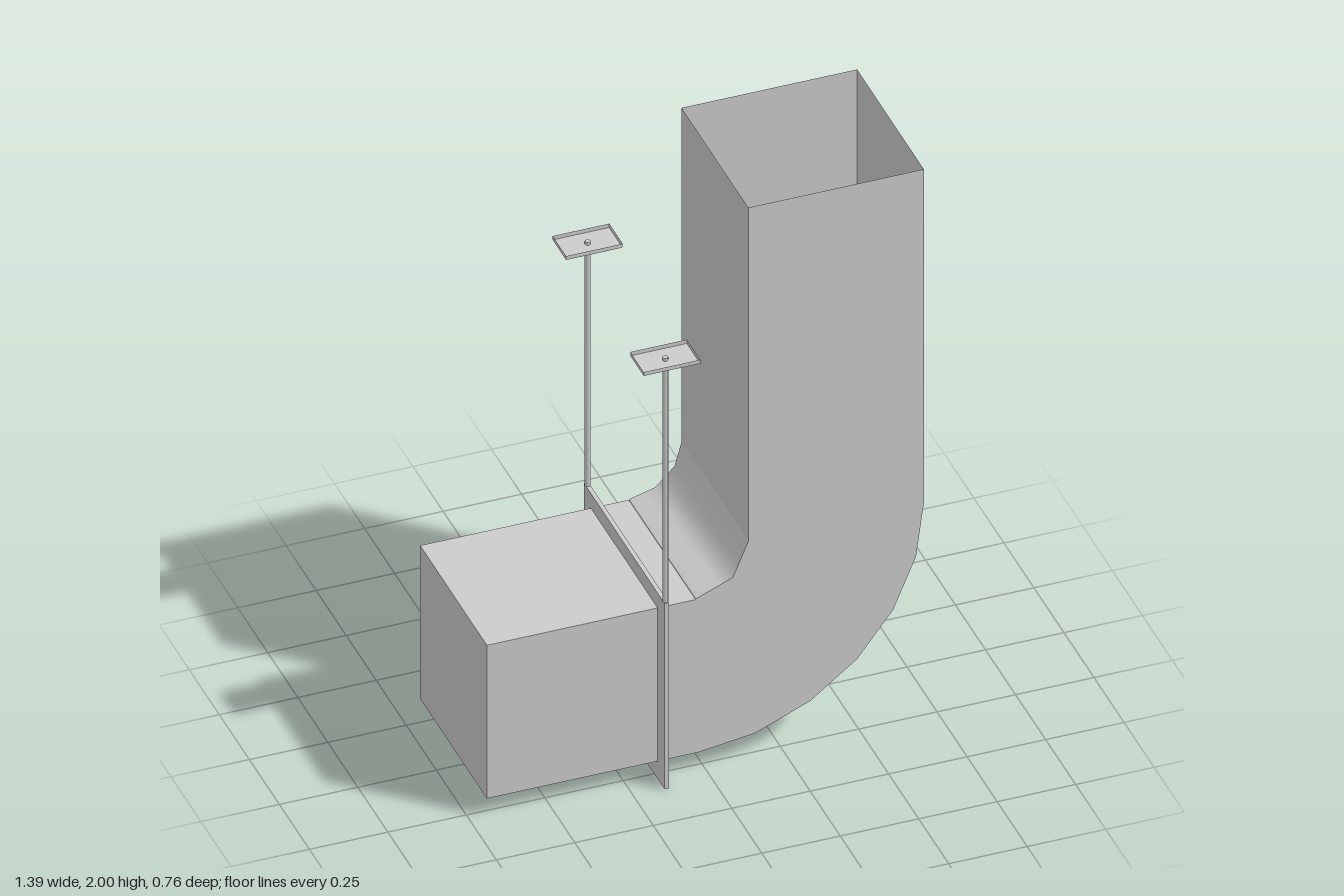
import * as THREE from 'three';

const material = new THREE.MeshStandardMaterial({ color: 0xcccccc, side: THREE.DoubleSide });
const HALF = 0.278;                 // half width of the duct
const CX = -0.03, CY = 0.79;        // centre of the bend
const R_OUT = 0.727, R_IN = 0.168;

function part(name, geometry, x = 0, y = 0, z = 0) {
  const mesh = new THREE.Mesh(geometry, material);
  mesh.name = name;
  mesh.position.set(x, y, z);
  return mesh;
}

// Box without its top face
function openBox(w, h, d) {
  const geo = new THREE.BoxGeometry(w, h, d);
  const index = Array.from(geo.index.array);
  index.splice(12, 6);
  geo.setIndex(index);
  return geo;
}

// Quarter arc from the horizontal duct up to the vertical duct
function arc(radius, segments) {
  return Array.from({ length: segments + 1 }, (_, i) => {
    const a = (i / segments) * Math.PI / 2;
    return new THREE.Vector2(CX + radius * Math.sin(a), CY - radius * Math.cos(a));
  });
}

// Resample a polyline so that both sides of a strip have equal point counts
function resample(points, count) {
  return Array.from({ length: count + 1 }, (_, i) => {
    const t = (i / count) * (points.length - 1);
    const k = Math.min(Math.floor(t), points.length - 2);
    return points[k].clone().lerp(points[k + 1], t - k);
  });
}

// Curved wall ruled between a front and a back profile
function ruledWall(front, back) {
  const pos = [], index = [];
  front.forEach((p, i) => {
    pos.push(p.x, p.y, HALF, back[i].x, back[i].y, -HALF);
    if (i) {
      const a = 2 * (i - 1);
      index.push(a, a + 1, a + 2, a + 1, a + 3, a + 2);
    }
  });
  const geo = new THREE.BufferGeometry();
  geo.setAttribute('position', new THREE.Float32BufferAttribute(pos, 3));
  geo.setIndex(index);
  geo.computeVertexNormals();
  return geo;
}

export function createModel() {
  const model = new THREE.Group();
  model.name = 'ductElbowWithHanger';

  // Straight ducts: closed horizontal run, open-topped riser
  model.add(part('horizontalDuct', new THREE.BoxGeometry(0.665, 2 * HALF, 2 * HALF), -0.3625, 0.342));
  model.add(part('verticalDuct', openBox(R_OUT - R_IN, 2 - CY, 2 * HALF), CX + (R_OUT + R_IN) / 2, (2 + CY) / 2));

  // Bend: outer wall, coarser inner wall, and two flat cheeks
  const bend = new THREE.Group();
  bend.name = 'bend';
  const outer = arc(R_OUT, 6);
  const innerFront = arc(R_IN, 2), innerBack = arc(R_IN, 3);
  bend.add(part('outerWall', ruledWall([...outer].reverse(), [...outer].reverse())));
  bend.add(part('innerWall', ruledWall(resample(innerFront, 6), resample(innerBack, 6))));
  for (const [name, inner, side] of [['frontCheek', innerFront, 1], ['backCheek', innerBack, -1]]) {
    const shape = new THREE.Shape([...outer, ...[...inner].reverse()]);
    const geo = new THREE.ShapeGeometry(shape);
    if (side < 0) {
      // turn the face to look backwards
      geo.setIndex(Array.from(geo.index.array).reverse());
      geo.computeVertexNormals();
    }
    bend.add(part(name, geo, 0, 0, side * HALF));
  }
  model.add(bend);

  // Hanger: flat frame around the duct
  const hanger = new THREE.Group();
  hanger.name = 'hanger';
  const X = -0.144, Z = 0.323;
  const frame = new THREE.Shape([[-0.336, 0], [0.336, 0], [0.336, 0.673], [-0.336, 0.673]].map(p => new THREE.Vector2(...p)));
  frame.holes.push(new THREE.Path([[-HALF, 0.062], [-HALF, 0.62], [HALF, 0.62], [HALF, 0.062]].map(p => new THREE.Vector2(...p))));
  const frameGeo = new THREE.ExtrudeGeometry(frame, { depth: 0.014, bevelEnabled: false });
  frameGeo.translate(0, 0, -0.007).rotateY(Math.PI / 2);
  hanger.add(part('frame', frameGeo, X));

  // Rods with shallow ceiling trays
  for (const side of [1, -1]) {
    hanger.add(part('rod', new THREE.CylinderGeometry(0.009, 0.009, 0.887, 10), X, 1.1145, side * Z));
    hanger.add(part('ceilingTray', openBox(0.18, 0.014, 0.112), X, 1.555, side * Z));
  }
  model.add(hanger);
  return model;
}
